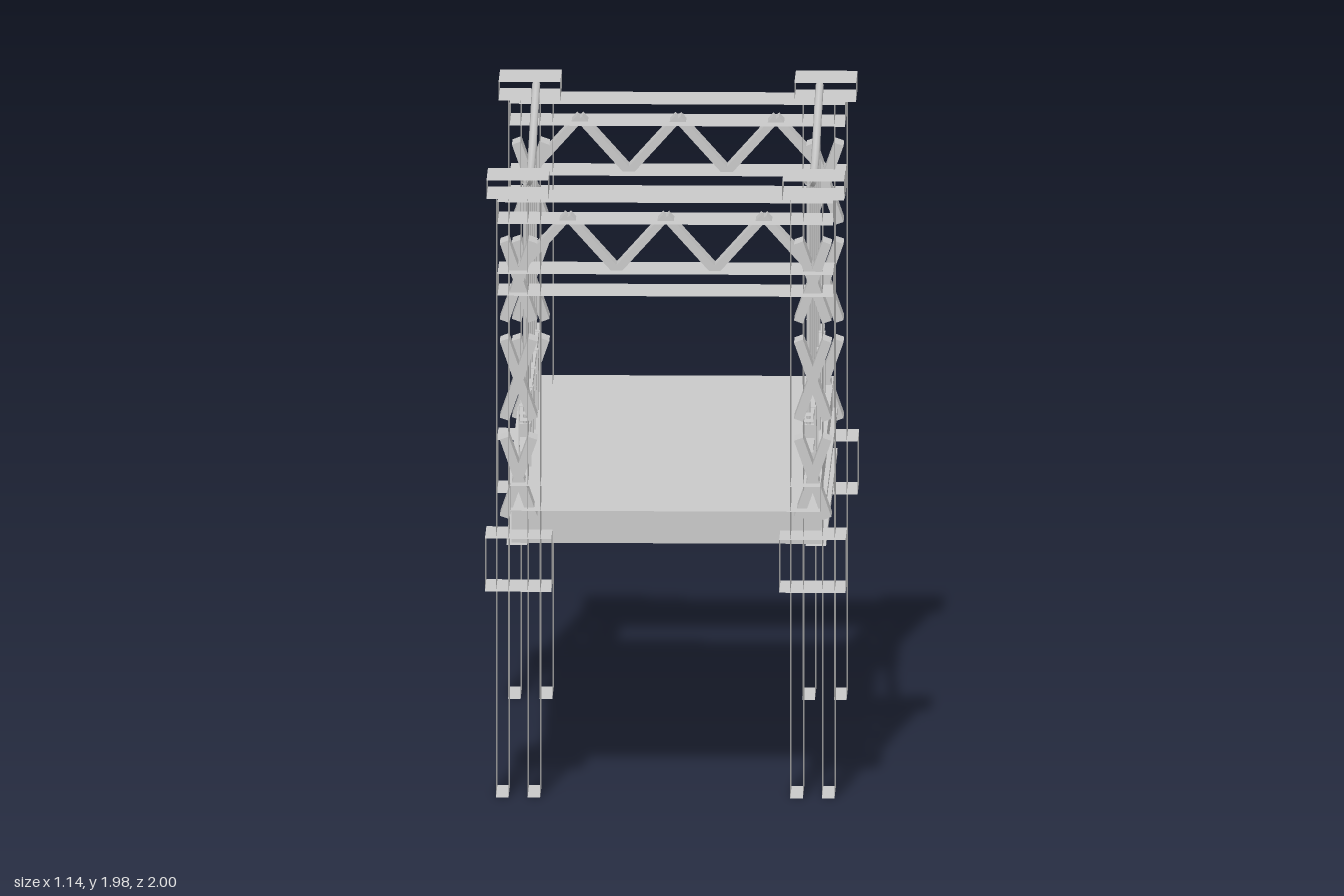
import * as THREE from 'three';

const steel = new THREE.MeshStandardMaterial({ color: 0xc8c8c8, side: THREE.DoubleSide });
steel.name = 'grey steel';

// Box given by its limits; open boxes have no faces towards front and back
function box(parent, name, [x0, x1], [y0, y1], [z0, z1], open = false) {
  const g = new THREE.BoxGeometry(x1 - x0, y1 - y0, z1 - z0);
  if (open) {
    g.setIndex(Array.from(g.index.array).slice(0, 24));
    g.clearGroups();
  }
  const m = new THREE.Mesh(g, steel);
  m.name = name;
  m.position.set((x0 + x1) / 2, (y0 + y1) / 2, (z0 + z1) / 2);
  parent.add(m);
}

// Flat bar between two points in the xy plane
function bar(parent, name, [ax, ay], [bx, by], z, width, depth) {
  const len = Math.hypot(bx - ax, by - ay);
  const m = new THREE.Mesh(new THREE.BoxGeometry(len, width, depth), steel);
  m.name = name;
  m.position.set((ax + bx) / 2, (ay + by) / 2, z);
  m.rotation.z = Math.atan2(by - ay, bx - ax);
  parent.add(m);
}

// Limits in x, mirrored for the right side
const span = (s, a, b) => (s > 0 ? [a, b] : [-b, -a]);

// Portal tower: two legs joined by a trussed cross beam
function tower() {
  const t = new THREE.Group();
  const Z = [0.776, 1];
  for (const s of [-1, 1]) {
    const leg = new THREE.Group();
    leg.name = s > 0 ? 'leftLeg' : 'rightLeg';
    box(leg, 'innerLegPlate', span(s, 0.395, 0.435), [0, 1.92], Z, true);
    box(leg, 'outerLegPlate', span(s, 0.495, 0.535), [0, 1.92], Z, true);
    box(leg, 'legCollar', span(s, 0.36, 0.57), [0.66, 0.83], Z, true);
    box(leg, 'legCap', span(s, 0.37, 0.565), [1.92, 1.98], Z, true);
    for (const y of [1.015, 1.33, 1.645]) {
      for (const d of [-0.045, 0.045]) {
        bar(leg, 'crossBrace', [s * 0.465 - d, y - 0.127], [s * 0.465 + d, y + 0.127], 0.89, 0.03, 0.1);
      }
    }
    t.add(leg);
  }
  box(t, 'upperChord', [-0.53, 0.53], [1.84, 1.91], Z, true);
  box(t, 'lowerChord', [-0.53, 0.53], [1.61, 1.68], Z, true);
  // Zigzag truss between the chords
  const node = (i) => [i * 0.155, i % 2 ? 1.678 : 1.85];
  for (let i = -3; i < 3; i++) {
    bar(t, 'zigzagBrace', node(i), node(i + 1), 0.89, 0.025, 0.08);
  }
  return t;
}

// One side: girder, railing, main cable and hangers
function side(s) {
  const g = new THREE.Group();
  g.name = s > 0 ? 'leftSide' : 'rightSide';
  const L = [-0.83, 0.83];
  box(g, 'girderWeb', span(s, 0.45, 0.465), [0.79, 0.92], L);
  box(g, 'girderTopFlange', span(s, 0.44, 0.505), [0.91, 0.93], L, true);
  box(g, 'girderBottomFlange', span(s, 0.44, 0.505), [0.78, 0.8], L, true);
  box(g, 'topRail', span(s, 0.435, 0.465), [1.178, 1.198], L, true);
  box(g, 'middleRail', span(s, 0.435, 0.465), [1.08, 1.1], L, true);
  for (let i = 0; i < 5; i++) {
    const z = 0.663 - i * 0.335;
    box(g, 'railPost', span(s, 0.43, 0.47), [1.005, 1.2], [z - 0.017, z + 0.017]);
    // Thin upright stiffener on the girder below
    const plate = new THREE.Mesh(new THREE.PlaneGeometry(0.025, 0.11), steel);
    plate.name = 'girderStiffener';
    plate.position.set(s * 0.4775, 0.855, z);
    g.add(plate);
  }
  // Sagging cable
  const half = [[0.87, 1.957], [0.78, 1.943], [0.5, 1.888], [0.25, 1.842]];
  const pts = [...half, [0, 1.824], ...half.slice().reverse().map(([z, y]) => [-z, y])];
  const curve = new THREE.CatmullRomCurve3(pts.map(([z, y]) => new THREE.Vector3(s * 0.448, y, z)));
  const cable = new THREE.Mesh(new THREE.TubeGeometry(curve, 32, 0.013, 8), steel);
  cable.name = 'mainCable';
  g.add(cable);
  // Hangers with clamp blocks
  const samples = curve.getPoints(200);
  for (let i = 0; i < 6; i++) {
    const z = 0.768 - i * 0.296;
    const top = samples.reduce((a, b) => (Math.abs(b.z - z) < Math.abs(a.z - z) ? b : a)).y;
    const rod = new THREE.Mesh(new THREE.CylinderGeometry(0.006, 0.006, top - 1.15, 8), steel);
    rod.name = 'hanger';
    rod.position.set(s * 0.448, (top + 1.15) / 2, z);
    g.add(rod);
    box(g, 'hangerBlock', span(s, 0.43, 0.465), [1.12, 1.16], [z - 0.015, z + 0.015]);
  }
  return g;
}

export function createModel() {
  const model = new THREE.Group();
  model.name = 'suspensionBridge';

  // Deck slab and end beams
  box(model, 'deck', [-0.49, 0.49], [0.92, 1], [-1, 1], true);
  for (const z of [-0.83, 0.8]) {
    box(model, 'endBeam', [-0.49, 0.49], [0.787, 0.915], [z, z + 0.03]);
  }

  // Front and back towers
  for (const turn of [0, Math.PI]) {
    const t = tower();
    t.name = turn ? 'backTower' : 'frontTower';
    t.rotation.y = turn;
    model.add(t);
  }
  model.add(side(1), side(-1));
  return model;
}
